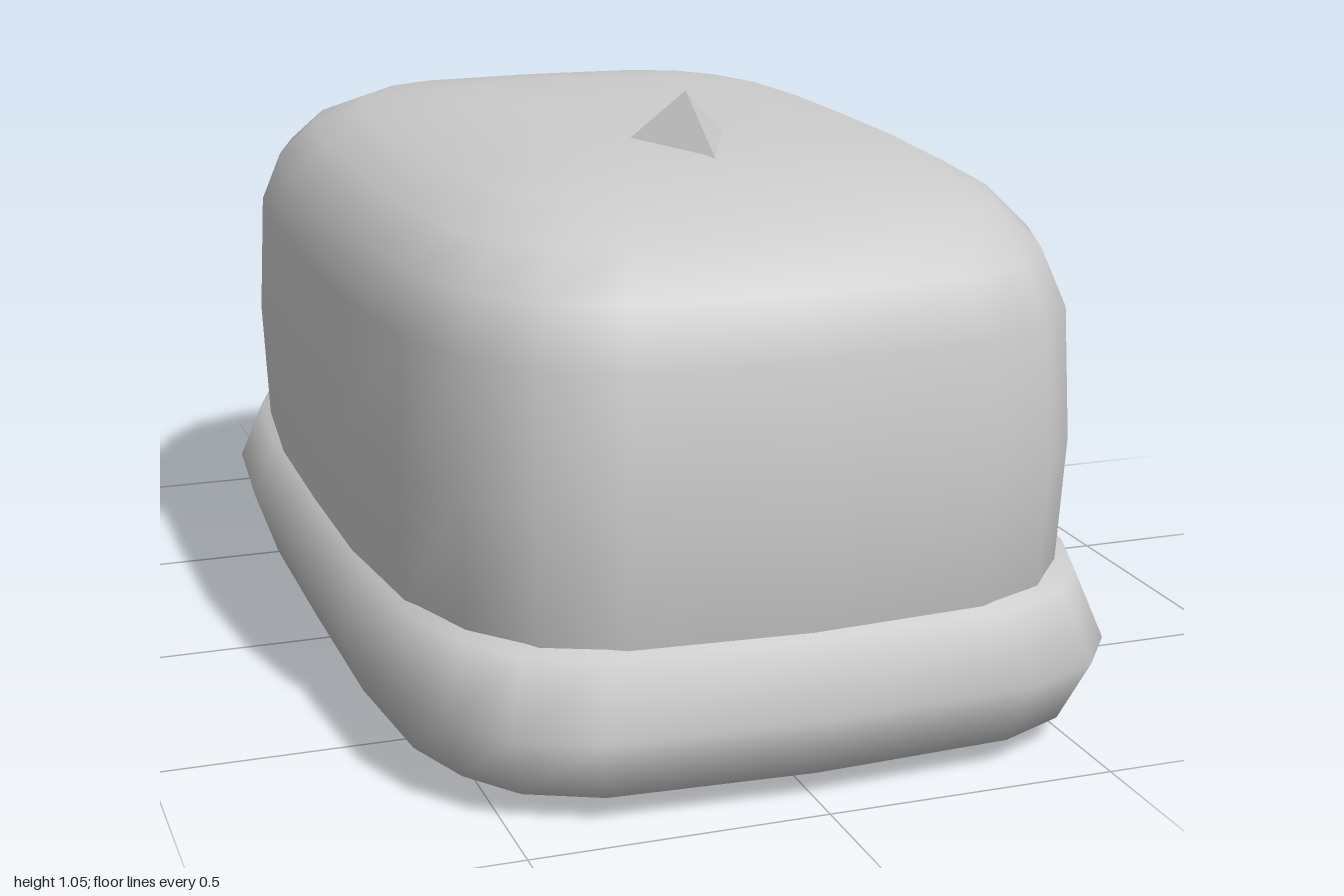
import * as THREE from 'three';
import { mergeVertices } from 'three/addons/utils/BufferGeometryUtils.js';

// Mirror a quarter outline (from +x axis to +z axis) into a full loop.
function fullOutline(quarter) {
  const half = [...quarter, ...quarter.slice(0, -1).reverse().map(([x, z]) => [-x, z])];
  return [...half, ...half.slice(1, -1).reverse().map(([x, z]) => [x, -z])];
}

// Stack scaled copies of an outline; profile entries are [scale, y], bottom to top.
function pillow(quarter, profile) {
  const loop = fullOutline(quarter);
  const n = loop.length;
  const positions = [];
  const index = [];
  profile.forEach(([s, y], r) => {
    loop.forEach(([x, z], i) => {
      positions.push(x * s, y, z * s);
      if (r === profile.length - 1) return;
      const a = r * n + i, b = r * n + (i + 1) % n;
      const c = a + n, d = b + n;
      if (s > 0) index.push(a, c, b);
      if (profile[r + 1][0] > 0) index.push(b, c, d);
    });
  });
  const geometry = new THREE.BufferGeometry();
  geometry.setAttribute('position', new THREE.Float32BufferAttribute(positions, 3));
  geometry.setIndex(index);
  const merged = mergeVertices(geometry);
  merged.computeVertexNormals();
  return merged;
}

export function createModel() {
  const group = new THREE.Group();
  const grey = new THREE.MeshStandardMaterial({ color: 0xcccccc });
  grey.name = 'lightGrey';

  const add = (name, geometry) => {
    const mesh = new THREE.Mesh(geometry, grey);
    mesh.name = name;
    group.add(mesh);
  };

  // Wide cushion-shaped base, symmetric about its middle height
  add('base', pillow(
    [[0.652, 0], [0.65, 0.4], [0.625, 0.68], [0.575, 0.82], [0.5, 0.92], [0.37, 0.98], [0, 1]],
    [[0, 0], [0.4, 0.004], [0.73, 0.012], [0.94, 0.045], [1, 0.16],
      [0.94, 0.275], [0.73, 0.305], [0, 0.31]],
  ));

  // Rounded body, its lowest ring sunk into the base
  add('body', pillow(
    [[0.62, 0], [0.617, 0.31], [0.59, 0.58], [0.53, 0.75], [0.44, 0.86], [0.31, 0.916], [0, 0.936]],
    [[0.93, 0.18], [0.984, 0.275], [1, 0.5], [0.984, 0.725], [0.93, 0.82],
      [0.835, 0.887], [0.69, 0.935], [0.46, 0.96], [0.23, 0.966], [0, 0.967]],
  ));

  // Small three-sided pointer on the top
  const tip = [0, 1.05, 0.31], front = [0, 0.95, 0.47];
  const left = [0.095, 0.955, 0.26], right = [-0.095, 0.955, 0.26];
  const faces = [front, left, tip, right, front, tip, left, right, tip, front, right, left];
  const pointer = new THREE.BufferGeometry();
  pointer.setAttribute('position', new THREE.Float32BufferAttribute(faces.flat(), 3));
  pointer.computeVertexNormals();
  add('pointer', pointer);

  return group;
}
